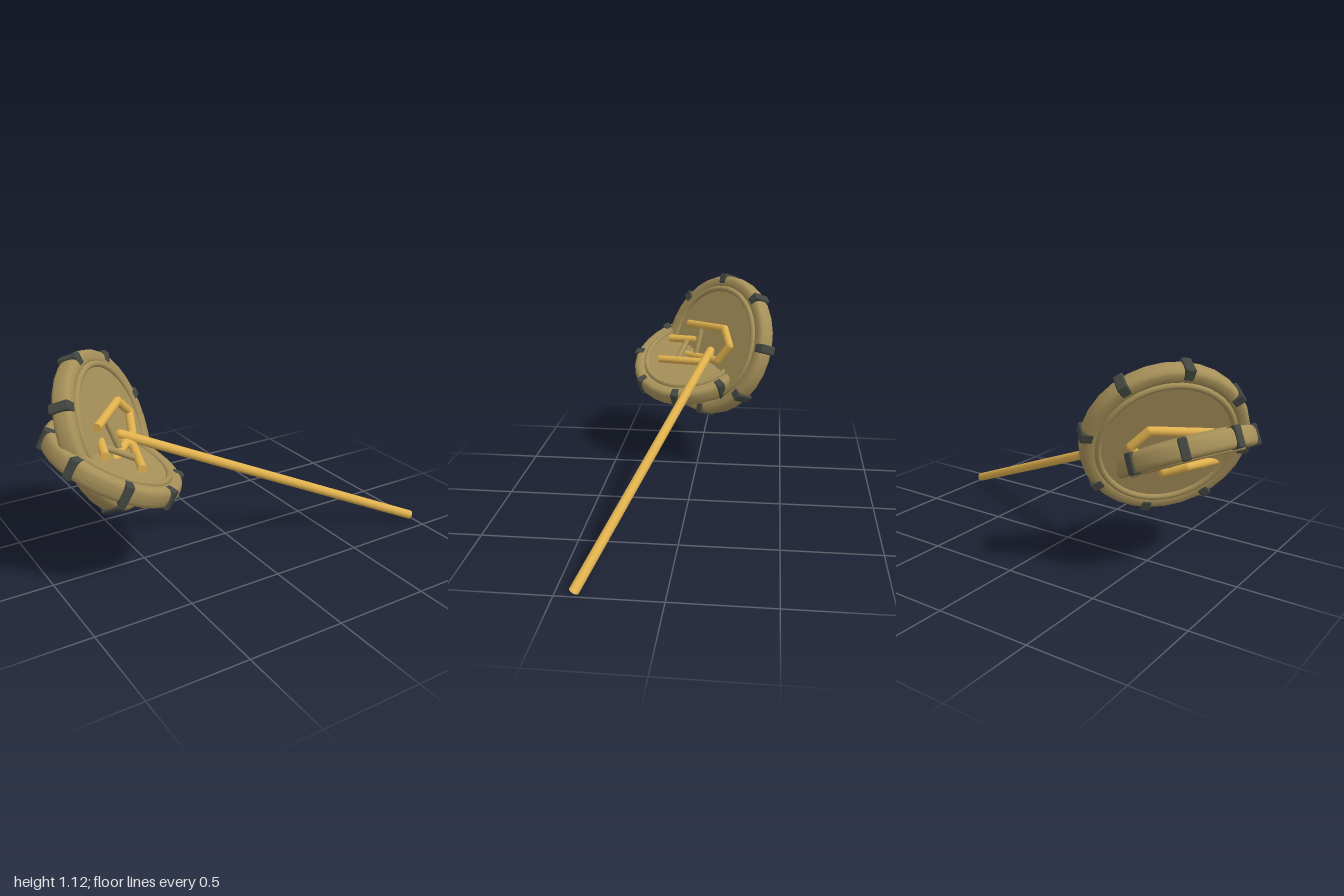
import * as THREE from 'three';
import { RoundedBoxGeometry } from 'three/addons/geometries/RoundedBoxGeometry.js';

const V = (x, y, z) => new THREE.Vector3(x, y, z);

export function createModel() {
  const model = new THREE.Group();
  const tan = new THREE.MeshStandardMaterial({ name: 'tan', color: 0xa69059 });
  const gold = new THREE.MeshStandardMaterial({ name: 'gold', color: 0xdfb04d, side: THREE.DoubleSide });
  const dark = new THREE.MeshStandardMaterial({ name: 'darkMetal', color: 0x444741 });

  const add = (parent, name, geometry, material) => {
    const mesh = new THREE.Mesh(geometry, material);
    mesh.name = name;
    parent.add(mesh);
    return mesh;
  };

  // Straight round bar between two points
  const bar = (parent, name, a, b, r, material, open = false) => {
    const d = b.clone().sub(a);
    const mesh = add(parent, name, new THREE.CylinderGeometry(r, r, d.length(), 14, 1, open), material);
    mesh.position.copy(a).add(b).multiplyScalar(0.5);
    mesh.quaternion.setFromUnitVectors(V(0, 1, 0), d.normalize());
    return mesh;
  };

  // Softly squared closed cross-section for a rim
  const rimProfile = (mid, halfWidth, halfDepth) => {
    const soft = (v) => Math.sign(v) * Math.pow(Math.abs(v), 0.7);
    const points = [];
    for (let i = 0; i <= 24; i++) {
      const t = (i % 24) / 24 * Math.PI * 2;
      points.push(new THREE.Vector2(mid + halfWidth * soft(Math.cos(t)), halfDepth * soft(Math.sin(t))));
    }
    return points;
  };

  // Rimmed disc in its own frame: face along z, handle opening towards -x
  function makeDisc({ name, center, normal, along, radius, grip, phase }) {
    const disc = new THREE.Group();
    disc.name = name;
    const mid = radius - 0.039, face = 0.045;

    const plate = add(disc, 'plate', new THREE.CylinderGeometry(mid, mid, face * 2, 40), tan);
    plate.rotation.x = Math.PI / 2;
    const rim = add(disc, 'rim', new THREE.LatheGeometry(rimProfile(mid, 0.039, 0.051), 30), tan);
    rim.rotation.x = Math.PI / 2;

    // Clamps spaced around the rim
    for (let i = 0; i < 8; i++) {
      const a = phase + i * Math.PI / 4, r = radius - 0.021;
      const clamp = add(disc, 'clamp', new RoundedBoxGeometry(0.06, radius * 0.125, 0.108, 2, 0.009), dark);
      clamp.position.set(Math.cos(a) * r, Math.sin(a) * r, 0);
      clamp.rotation.z = a;
    }

    // Each face has a raised ring, an angular grip and a cross bar
    for (const side of [1, -1]) {
      const ring = add(disc, 'faceRing', new THREE.TorusGeometry(radius - 0.081, 0.016, 10, 48), tan);
      ring.position.z = side * face;
      const { back, front, tip, half } = grip, z = side * 0.073;
      const path = [V(back, half, z), V(front, half, z), V(tip, 0, z), V(front, -half, z), V(back, -half, z)];
      for (let i = 0; i < 4; i++) bar(disc, 'gripBar', path[i], path[i + 1], 0.022, gold);
      for (let i = 1; i < 4; i++) {
        add(disc, 'gripJoint', new THREE.SphereGeometry(0.022, 14, 10), gold).position.copy(path[i]);
      }
      const x = back + 0.115;
      bar(disc, 'crossBar', V(x, half, z), V(x, -half, z), 0.016, tan);
    }

    // Orient the disc
    const n = normal.clone().normalize();
    const e1 = along.clone().addScaledVector(n, -along.dot(n)).normalize();
    const e2 = n.clone().cross(e1);
    disc.quaternion.setFromRotationMatrix(new THREE.Matrix4().makeBasis(e1, e2, n));
    disc.position.copy(center);
    model.add(disc);
  }

  makeDisc({
    name: 'largeDisc', center: V(-0.632, 0.712, -0.105), normal: V(0.66, 0.35, 0.66),
    along: V(0.67, 0.08, -0.735), radius: 0.408, phase: 0.05,
    grip: { back: -0.2, front: 0.11, tip: 0.18, half: 0.093 },
  });
  makeDisc({
    name: 'smallDisc', center: V(-0.665, 0.608, 0.037), normal: V(0.415, 0.895, 0.165),
    along: V(0.288, 0.045, -0.956), radius: 0.36, phase: 0.03,
    grip: { back: -0.17, front: 0.095, tip: 0.156, half: 0.095 },
  });

  // Long rod rising from the ground to the middle of the discs
  const top = V(-0.57, 0.69, -0.07);
  bar(model, 'rod', V(0.988, 0.025, 0.407), top, 0.025, gold, true);
  add(model, 'rodEnd', new THREE.SphereGeometry(0.025, 14, 10), gold).position.copy(top);

  return model;
}
